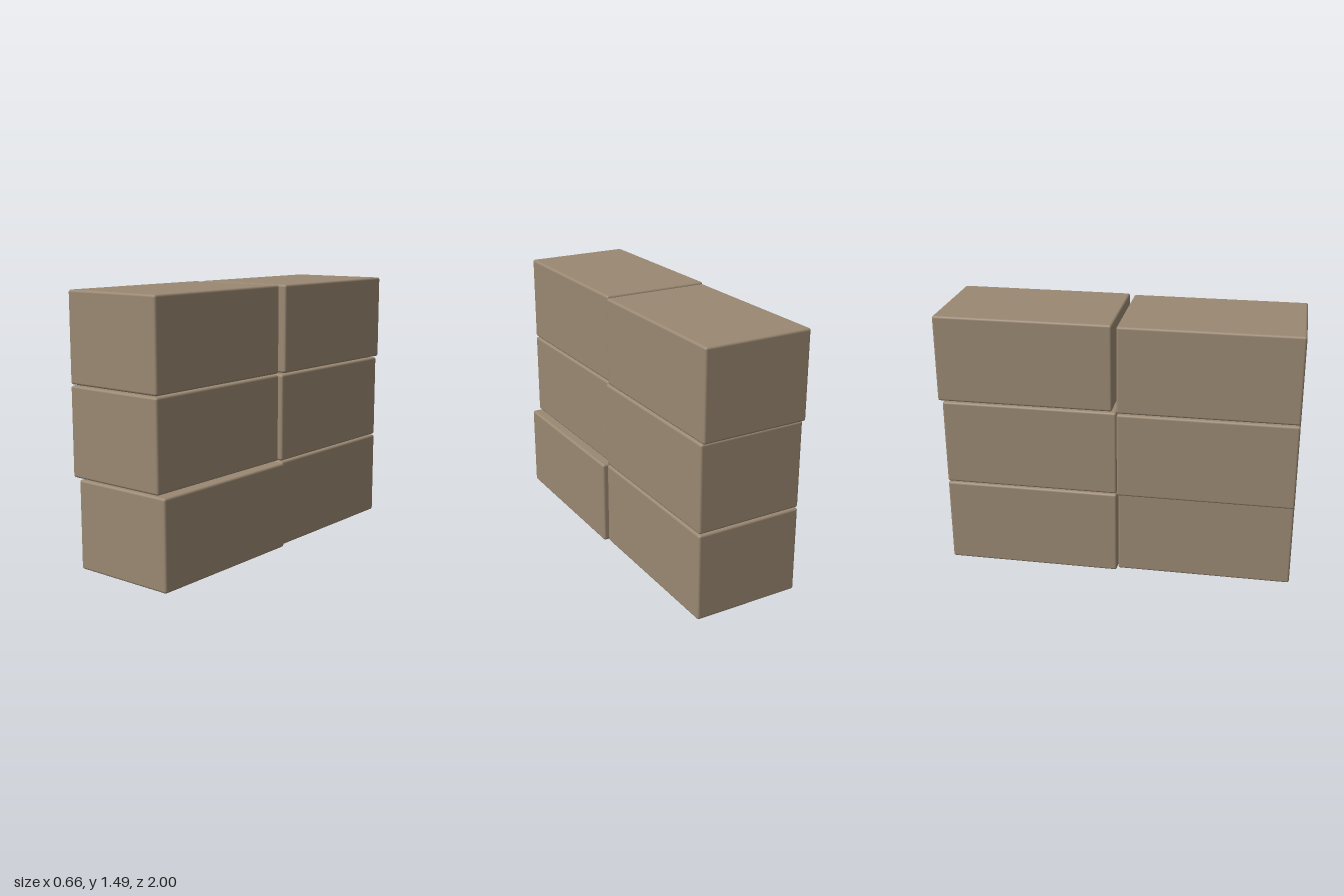
import * as THREE from 'three';
import { RoundedBoxGeometry } from 'three/addons/geometries/RoundedBoxGeometry.js';

export function createModel() {
  const model = new THREE.Group();
  model.name = 'crateStack';

  const cardboard = new THREE.MeshStandardMaterial({ color: 0x9a8872 });
  cardboard.name = 'cardboard brown';

  // One block with softly rounded edges, shared by the whole stack
  const height = 0.491, pitch = 0.497;
  const block = new RoundedBoxGeometry(0.615, height, 0.985, 3, 0.013);

  // Slightly shifted blocks: name, x centre, layer, z centre
  const blocks = [
    ['frontBottomBlock', 0.022, 0, 0.507],
    ['frontMiddleBlock', -0.024, 1, 0.507],
    ['frontTopBlock', -0.024, 2, 0.507],
    ['backBottomBlock', -0.003, 0, -0.482],
    ['backMiddleBlock', -0.003, 1, -0.482],
    ['backTopBlock', -0.003, 2, -0.506],
  ];
  for (const [name, x, layer, z] of blocks) {
    const mesh = new THREE.Mesh(block, cardboard);
    mesh.name = name;
    mesh.position.set(x, height / 2 + layer * pitch, z);
    model.add(mesh);
  }
  return model;
}
